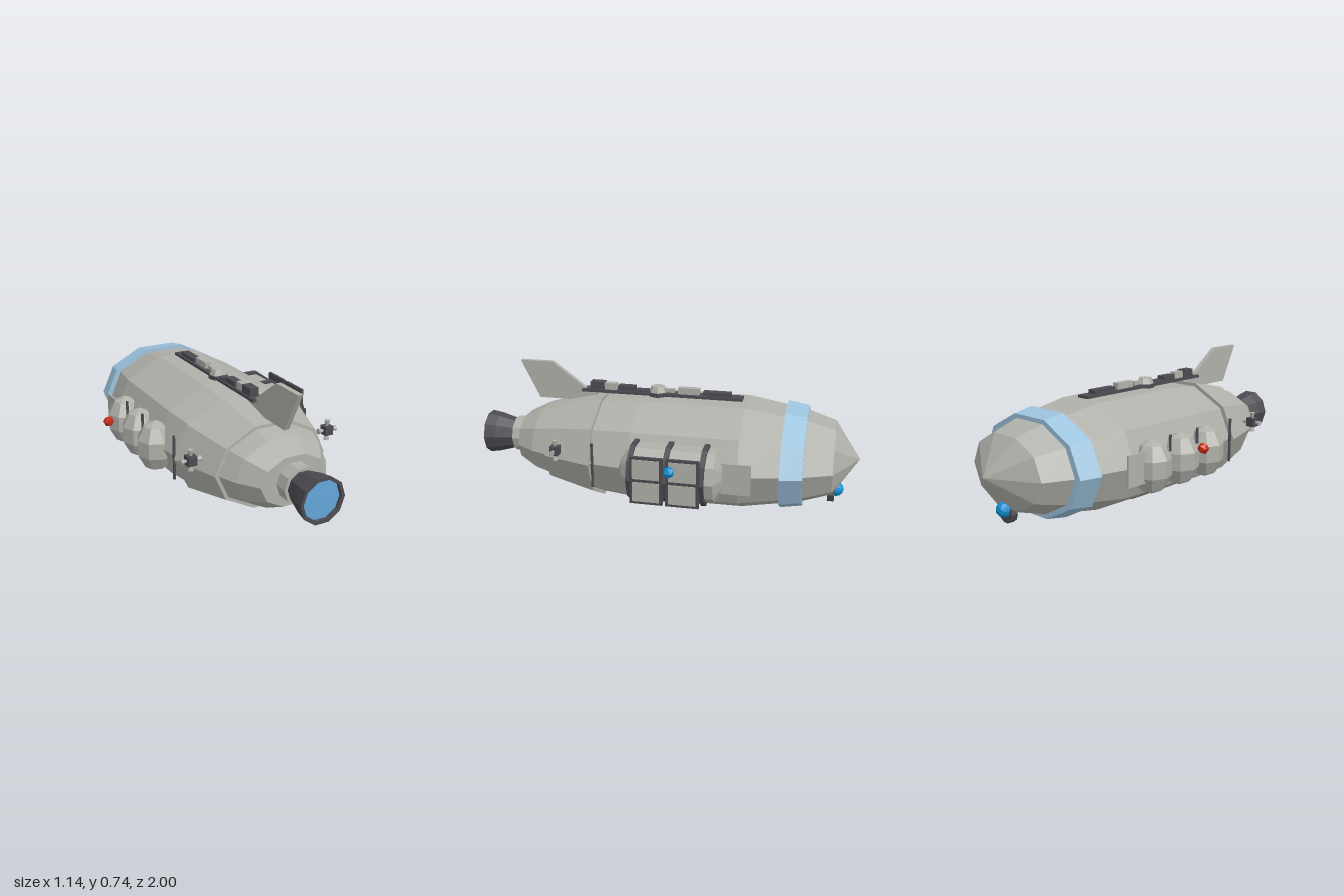
import * as THREE from 'three';

const mat = (name, color, extra = {}) => {
  const m = new THREE.MeshStandardMaterial({ color, flatShading: true, ...extra });
  m.name = name;
  return m;
};

export function createModel() {
  const model = new THREE.Group();
  model.name = 'spacecraft';
  const hullGrey = mat('hull grey', 0xb0b0aa);
  const darkGrey = mat('dark grey', 0x4b4b51);
  const bandBlue = mat('band blue', 0x9cc3dd);
  const engineBlue = mat('engine blue', 0x62a6d8);
  const lampBlue = mat('lamp blue', 0x0c8fd2);
  const lampRed = mat('lamp red', 0xc62c12);
  const CY = 0.315;

  const add = (name, geo, material, x = 0, y = 0, z = 0) => {
    const mesh = new THREE.Mesh(geo, material);
    mesh.name = name;
    mesh.position.set(x, y, z);
    model.add(mesh);
    return mesh;
  };
  const box = (name, material, [x0, x1], [y0, y1], [z0, z1]) =>
    add(name, new THREE.BoxGeometry(x1 - x0, y1 - y0, z1 - z0), material,
      (x0 + x1) / 2, (y0 + y1) / 2, (z0 + z1) / 2);
  // Ten-sided body turned about the z axis from [z, radius] pairs, z rising
  const turned = (name, profile, material, squash = 1, x = 0, y = CY, sides = 10) => {
    const pts = profile.map(([z, r]) => new THREE.Vector2(r, z));
    const geo = new THREE.LatheGeometry(pts, sides, Math.PI / 2);
    geo.rotateX(Math.PI / 2);
    geo.scale(1, squash, 1);
    return add(name, geo, material, x, y, 0);
  };

  // Hull, overlapping rear shell and tail cap
  turned('hull', [[-1, 0], [-0.87, 0.25], [-0.73, 0.31], [-0.62, 0.338], [-0.42, 0.383],
    [0.12, 0.388], [0.34, 0.358], [0.34, 0]], hullGrey, 0.73);
  turned('rearShell', [[0.32, 0.34], [0.32, 0.386], [0.58, 0.302], [0.58, 0]], hullGrey, 0.73);
  turned('tailCap', [[0.57, 0.288], [0.67, 0.25], [0.775, 0.177], [0.775, 0]], hullGrey, 0.72);
  turned('noseBand', [[-0.73, 0.29], [-0.73, 0.345], [-0.62, 0.37], [-0.62, 0.32]], bandBlue, 0.72);

  // Engine
  turned('engineCollar', [[0.76, 0.095], [0.845, 0.095], [0.845, 0]], hullGrey);
  turned('engineBell', [[0.84, 0.078], [0.89, 0.092], [0.94, 0.106], [1, 0.116], [1, 0.1], [0.97, 0.096]], darkGrey);
  turned('engineGlow', [[0.984, 0.1], [0.985, 0]], engineBlue);

  // Tail fin, drawn in (z, y) and turned into the centre plane
  const fin = new THREE.Shape([[0.8, 0.735], [0.62, 0.735], [0.43, 0.595], [0.32, 0.56],
    [0.32, 0.535], [0.7, 0.535]].map(([z, y]) => new THREE.Vector2(-z, y)));
  const finGeo = new THREE.ExtrudeGeometry(fin, { depth: 0.026, bevelEnabled: false });
  finGeo.translate(0, 0, -0.013);
  finGeo.rotateY(Math.PI / 2);
  add('tailFin', finGeo, hullGrey);

  // Dorsal rail with equipment and a small turret
  box('dorsalRail', darkGrey, [-0.033, 0.033], [0.588, 0.602], [-0.395, 0.455]);
  for (const [m, z0, z1, top, w] of [
    [darkGrey, -0.335, -0.19, 0.622, 0.022], [hullGrey, -0.17, -0.06, 0.635, 0.017],
    [darkGrey, 0.1, 0.165, 0.612, 0.022], [darkGrey, 0.17, 0.26, 0.628, 0.022],
    [hullGrey, 0.27, 0.335, 0.637, 0.017], [darkGrey, 0.335, 0.41, 0.642, 0.024],
  ]) box('dorsalUnit', m, [-w, w], [0.6, top], [z0, z1]);
  add('turretBase', new THREE.CylinderGeometry(0.05, 0.05, 0.022, 7), darkGrey, 0, 0.594, 0.05);
  add('turret', new THREE.CylinderGeometry(0.034, 0.047, 0.033, 7), hullGrey, 0, 0.619, 0.05);
  box('turretBarrel', hullGrey, [-0.01, 0.01], [0.605, 0.625], [-0.04, 0.05]);

  // Belly sensors
  box('bellySensor', darkGrey, [-0.03, 0.046], [0, 0.036], [-0.085, 0.11]);
  box('bellyPlate', hullGrey, [-0.035, 0.006], [0.012, 0.036], [0.17, 0.295]);

  // Cargo pod on the left side, with hoops
  const px = 0.375;
  turned('cargoPod', [[-0.365, 0], [-0.355, 0.07], [-0.325, 0.132], [0.08, 0.138], [0.13, 0.085], [0.165, 0]],
    hullGrey, 1, px);
  for (const z of [-0.272, -0.096, 0.078])
    turned('podHoop', [[z - 0.012, 0.12], [z - 0.012, 0.15], [z + 0.012, 0.15], [z + 0.012, 0.12]],
      darkGrey, 1, px);
  // Framed outer panels, two panes each
  for (const zc of [-0.185, -0.01]) {
    box('podPanelFrame', darkGrey, [0.506, 0.522], [0.2, 0.437], [zc - 0.08, zc + 0.08]);
    for (const yc of [0.262, 0.376])
      box('podPane', hullGrey, [0.521, 0.526], [yc - 0.049, yc + 0.049], [zc - 0.066, zc + 0.066]);
  }
  box('podLatch', darkGrey, [0.522, 0.538], [0.31, 0.322], [-0.1, -0.085]);

  // Three bulging tanks on the right side
  for (const z of [-0.305, -0.105, 0.09]) {
    const tank = add('sideTank', new THREE.SphereGeometry(1, 8, 5), hullGrey, -0.378, 0.3, z);
    tank.scale.set(0.1, 0.135, 0.102);
  }
  for (const z of [-0.205, -0.005])
    add('tankRod', new THREE.CylinderGeometry(0.007, 0.007, 0.08, 6), darkGrey, -0.405, 0.4, z);

  // Mirrored fittings: side plates, rods and thruster blocks
  for (const s of [-1, 1]) {
    add('sidePlate', new THREE.BoxGeometry(0.009, 0.155, 0.145), hullGrey, s * 0.403, 0.315, -0.42);
    add('sideRod', new THREE.CylinderGeometry(0.007, 0.007, 0.23, 6), darkGrey, s * 0.375, 0.315, 0.3);
    const block = new THREE.Group();
    block.name = 'thrusterBlock';
    block.position.set(s * 0.38, 0.382, 0.49);
    const core = new THREE.Mesh(new THREE.BoxGeometry(0.046, 0.046, 0.046), darkGrey);
    core.name = 'thrusterCore';
    block.add(core);
    for (let i = 0; i < 4; i++) {
      const jet = new THREE.Mesh(new THREE.CylinderGeometry(0.015, 0.007, 0.03, 7), hullGrey);
      jet.name = 'thrusterJet';
      jet.rotation.z = i * Math.PI / 2;
      jet.position.set(-Math.sin(i * Math.PI / 2) * 0.037, Math.cos(i * Math.PI / 2) * 0.037, 0);
      block.add(jet);
    }
    model.add(block);
    // Navigation lamps
    add(s > 0 ? 'leftLamp' : 'rightLamp', new THREE.IcosahedronGeometry(0.029, 0),
      s > 0 ? lampBlue : lampRed, s * 0.543, 0.383, -0.125);
  }

  // Sensor under the nose
  turned('noseSensorMount', [[-0.885, 0], [-0.885, 0.047], [-0.85, 0.047], [-0.85, 0]], darkGrey, 1, 0, 0.12);
  add('noseSensor', new THREE.IcosahedronGeometry(0.038, 1), lampBlue, 0, 0.142, -0.893);

  return model;
}
